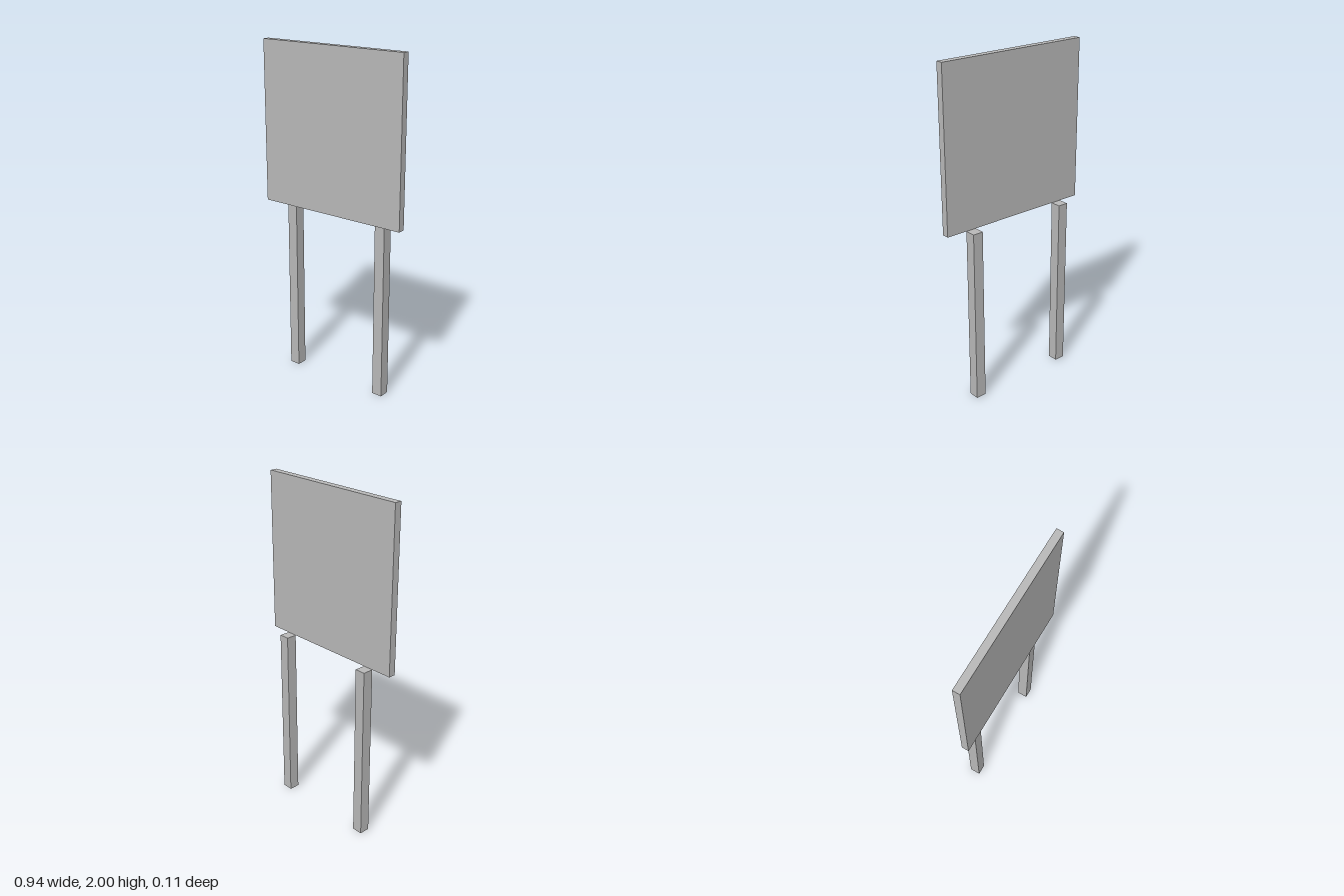
import * as THREE from 'three';

export function createModel() {
  const model = new THREE.Group();
  model.name = 'signboard';
  const grey = new THREE.MeshStandardMaterial({ color: 0xb8b8b8 });
  grey.name = 'plain grey';

  const addBox = (name, size, position) => {
    const mesh = new THREE.Mesh(new THREE.BoxGeometry(...size), grey);
    mesh.name = name;
    mesh.position.set(...position);
    model.add(mesh);
  };

  const postHeight = 1.055;
  const postWidth = 0.063;
  const panelDepth = 0.042;
  const backZ = -(postWidth + panelDepth) / 2;

  // Square panel, standing in front of the post tops
  addBox('panel', [0.945, 2 - postHeight, panelDepth],
    [0, (2 + postHeight) / 2, backZ + postWidth + panelDepth / 2]);

  // Two square posts, mirrored about the centre
  for (const side of [-1, 1]) {
    addBox(side > 0 ? 'leftPost' : 'rightPost', [postWidth, postHeight, postWidth],
      [side * 0.315, postHeight / 2, backZ + postWidth / 2]);
  }

  return model;
}
